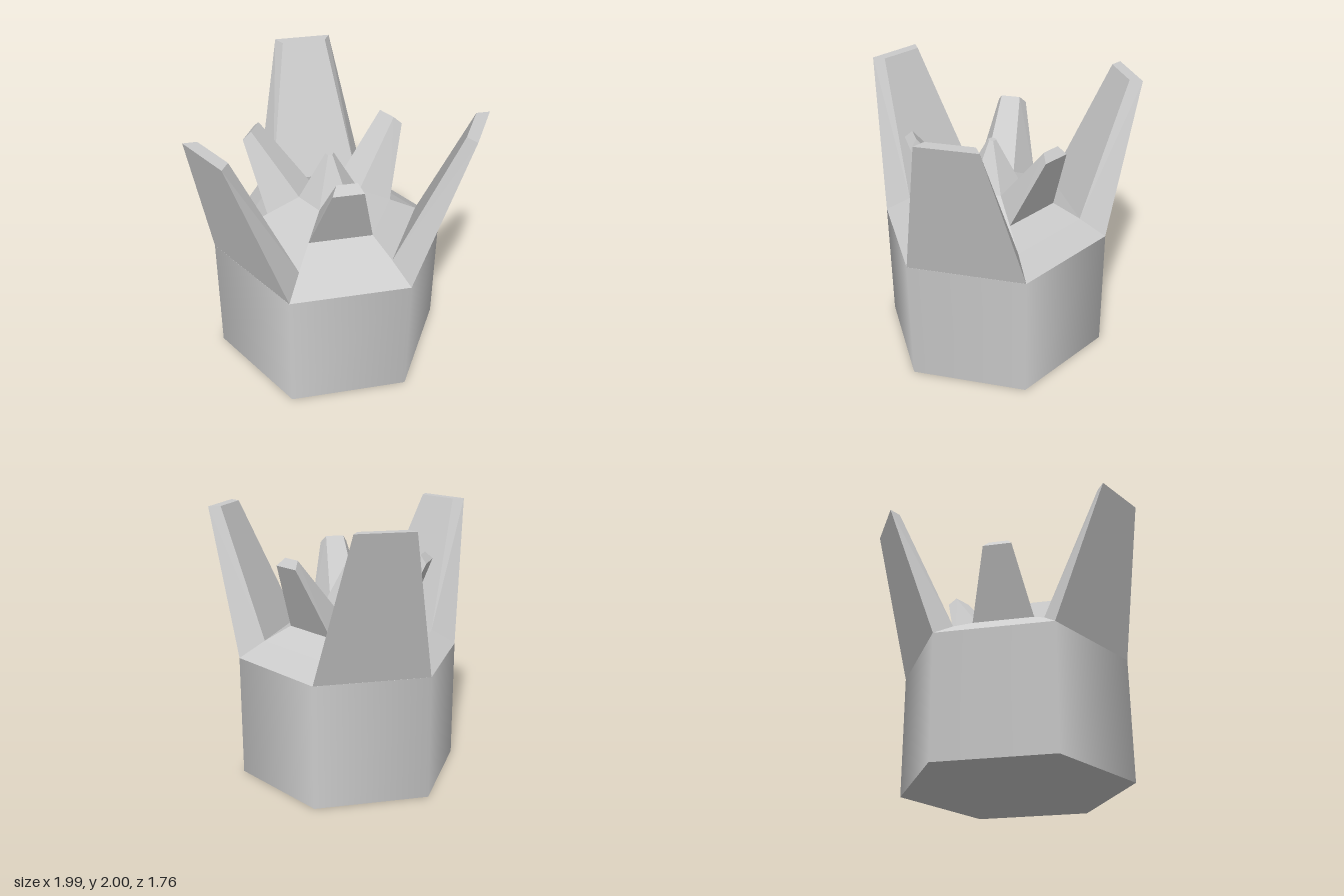
import * as THREE from 'three';
import { ConvexGeometry } from 'three/addons/geometries/ConvexGeometry.js';

const smooth = new THREE.MeshStandardMaterial({ color: 0xcccccc });
const flat = new THREE.MeshStandardMaterial({ color: 0xcccccc, flatShading: true });

function addMesh(parent, name, geometry, material) {
  const mesh = new THREE.Mesh(geometry, material);
  mesh.name = name;
  parent.add(mesh);
  return mesh;
}

// Leaning, tapered spike: each row is [half width, height, distance from the axis]
function spikeGeometry(rows) {
  const points = rows.flatMap(([w, y, r]) => [
    new THREE.Vector3(-w, y, r),
    new THREE.Vector3(w, y, r),
  ]);
  return new ConvexGeometry(points);
}

export function createModel() {
  const model = new THREE.Group();
  model.name = 'hexagonalCrown';

  // All parts share a vertical axis slightly forward of the middle
  const crown = new THREE.Group();
  crown.name = 'crown';
  crown.position.z = 0.15;
  model.add(crown);

  // Six-sided base with softly shaded walls
  const base = new THREE.CylinderGeometry(0.84, 0.84, 0.92, 6, 1, true, Math.PI / 6);
  addMesh(crown, 'baseWall', base, smooth).position.y = 0.46;
  const bottom = new THREE.CircleGeometry(0.84, 6).rotateX(Math.PI / 2);
  addMesh(crown, 'baseBottom', bottom, smooth);

  // Sloping deck rising into the central spike
  const profile = [[0.84, 0.92], [0.65, 1.04], [0.45, 1.145], [0.22, 1.26], [0.03, 1.6], [0, 1.6]]
    .map(([r, y]) => new THREE.Vector2(r, y));
  const deck = new THREE.LatheGeometry(profile, 6, Math.PI / 6).toNonIndexed();
  deck.computeVertexNormals();
  addMesh(crown, 'deckAndCentreSpike', deck, flat);

  // Tall outer claws and short inner prongs alternate around the six sides
  const claw = spikeGeometry([[0.42, 0.92, 0.727], [0.325, 1.04, 0.56], [0.205, 2, 1.03], [0.16, 2, 0.95]]);
  const prong = spikeGeometry([[0.225, 1.145, 0.39], [0.11, 1.26, 0.19], [0.105, 1.65, 0.6], [0.07, 1.705, 0.55]]);
  for (let i = 0; i < 3; i++) {
    const angle = (i * Math.PI * 2) / 3;
    addMesh(crown, `outerClaw${i + 1}`, claw, flat).rotation.y = angle + Math.PI;
    addMesh(crown, `innerProng${i + 1}`, prong, flat).rotation.y = angle;
  }

  return model;
}
